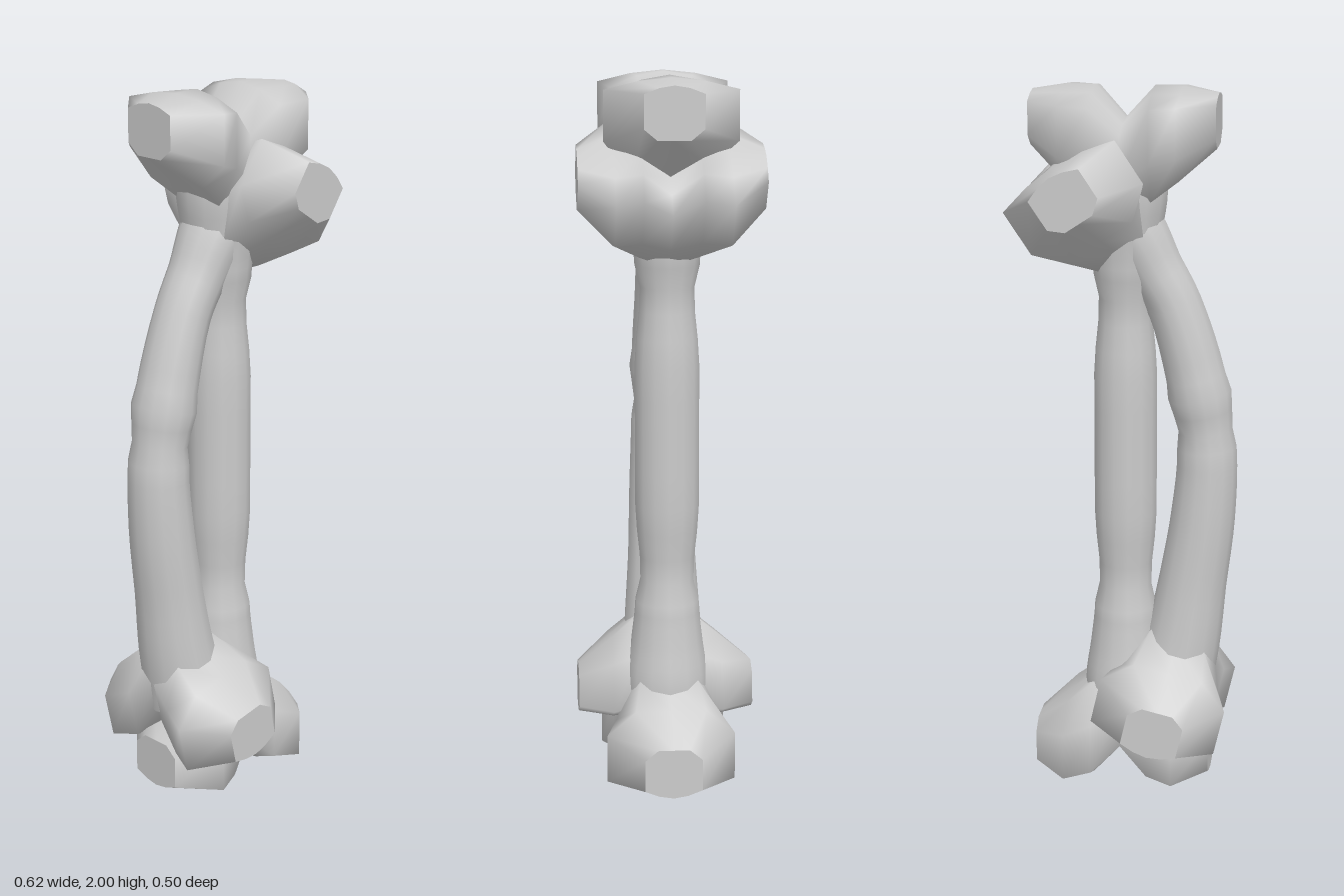
import * as THREE from 'three';

const material = new THREE.MeshStandardMaterial({ color: 0xcccccc });

// Skin a row of rings (counter-clockwise about the direction of travel), with flat end caps.
function loft(rings) {
  const n = rings[0].length;
  const pos = [];
  const index = [];
  rings.forEach((ring) => ring.forEach((p) => pos.push(p.x, p.y, p.z)));
  for (let i = 0; i < rings.length - 1; i++) {
    for (let j = 0; j < n; j++) {
      const a = i * n + j;
      const b = i * n + (j + 1) % n;
      index.push(a, b, a + n, b, b + n, a + n);
    }
  }
  [rings[0], rings[rings.length - 1]].forEach((ring, end) => {
    const base = pos.length / 3;
    const centre = new THREE.Vector3();
    ring.forEach((p) => {
      pos.push(p.x, p.y, p.z);
      centre.addScaledVector(p, 1 / n);
    });
    pos.push(centre.x, centre.y, centre.z);
    for (let j = 0; j < n; j++) {
      const a = base + j;
      const b = base + (j + 1) % n;
      index.push(base + n, end ? a : b, end ? b : a);
    }
  });
  const geometry = new THREE.BufferGeometry();
  geometry.setAttribute('position', new THREE.Float32BufferAttribute(pos, 3));
  geometry.setIndex(index);
  geometry.computeVertexNormals();
  return geometry;
}

// Two-lobed knuckle: lobes along x, width along z, tip of the bone at y = 0.
function knuckleGeometry() {
  // offset, half width, top, upper shoulder, lower shoulder, underside
  const half = [
    [0, 0.12, -0.09, -0.12, -0.24, -0.35],
    [0.08, 0.15, -0.002, -0.045, -0.19, -0.3],
    [0.155, 0.18, -0.004, -0.035, -0.17, -0.24],
    [0.25, 0.08, -0.018, -0.04, -0.13, -0.16],
  ];
  const mirrored = half.slice(1).reverse().map(([x, ...rest]) => [-x, ...rest]);
  return loft([...mirrored, ...half].map(([x, w, top, hi, lo, under]) => {
    const side = [[0.5 * w, top * 0.7 + hi * 0.3], [w, hi], [w, lo], [0.55 * w, under]];
    const outline = [
      [0, top], ...side, [0, under],
      ...side.slice().reverse().map(([z, y]) => [-z, y]),
    ];
    return outline.map(([z, y]) => new THREE.Vector3(x, y, z));
  }));
}

// Shaft swept along points [x, y, radius] lying in the z = 0 plane.
function shaftGeometry(points, steps) {
  const path = new THREE.CatmullRomCurve3(points.map(([x, y]) => new THREE.Vector3(x, y, 0)));
  const radii = new THREE.CatmullRomCurve3(points.map((p) => new THREE.Vector3(p[2], 0, 0)));
  const rings = [];
  const sides = 14;
  for (let i = 0; i <= steps; i++) {
    const t = i / steps;
    const centre = path.getPoint(t);
    const tangent = path.getTangent(t);
    const normal = new THREE.Vector3(0, 0, 1).cross(tangent);
    const r = radii.getPoint(t).x;
    rings.push(Array.from({ length: sides }, (_, j) => {
      const a = (j / sides) * Math.PI * 2;
      const p = centre.clone().addScaledVector(normal, r * Math.cos(a));
      p.z = r * 1.03 * Math.sin(a);
      return p;
    }));
  }
  return loft(rings);
}

function add(group, name, geometry) {
  const mesh = new THREE.Mesh(geometry, material);
  mesh.name = name;
  group.add(mesh);
  return mesh;
}

function addKnuckle(group, name, geometry, x, y, turn, tilt) {
  const mesh = add(group, name, geometry);
  mesh.position.set(x, y, 0);
  mesh.rotation.set(0, turn, tilt, 'ZYX');
}

export function createModel() {
  const model = new THREE.Group();
  model.name = 'bonePair';
  const knuckle = knuckleGeometry();

  // Straight bone, lobes left and right
  const straight = new THREE.Group();
  straight.name = 'straightBone';
  add(straight, 'straightShaft', shaftGeometry([
    [0, 0.15, 0.11], [0, 0.28, 0.115], [0, 0.4, 0.1], [0, 0.52, 0.088], [0, 0.8, 0.088],
    [0, 1.2, 0.088], [0, 1.48, 0.088], [0, 1.6, 0.1], [0, 1.72, 0.115], [0, 1.85, 0.11],
  ], 36));
  addKnuckle(straight, 'straightTopKnuckle', knuckle, 0, 2, 0, 0);
  addKnuckle(straight, 'straightBottomKnuckle', knuckle, 0, 0, 0, Math.PI);

  // Bowed bone, lobes front and back
  const bowed = new THREE.Group();
  bowed.name = 'bowedBone';
  add(bowed, 'bowedShaft', shaftGeometry([
    [-0.13, 0.28, 0.12], [-0.165, 0.42, 0.108], [-0.193, 0.6, 0.096], [-0.22, 0.8, 0.09],
    [-0.228, 1, 0.083], [-0.195, 1.2, 0.083], [-0.135, 1.4, 0.077], [-0.08, 1.5, 0.08],
    [-0.02, 1.6, 0.095], [0.06, 1.69, 0.11],
  ], 36));
  addKnuckle(bowed, 'bowedTopKnuckle', knuckle, 0.175, 1.805, Math.PI / 2, -0.59);
  addKnuckle(bowed, 'bowedBottomKnuckle', knuckle, -0.09, 0.138, Math.PI / 2, Math.PI + 0.22);

  model.add(straight, bowed);
  return model;
}
